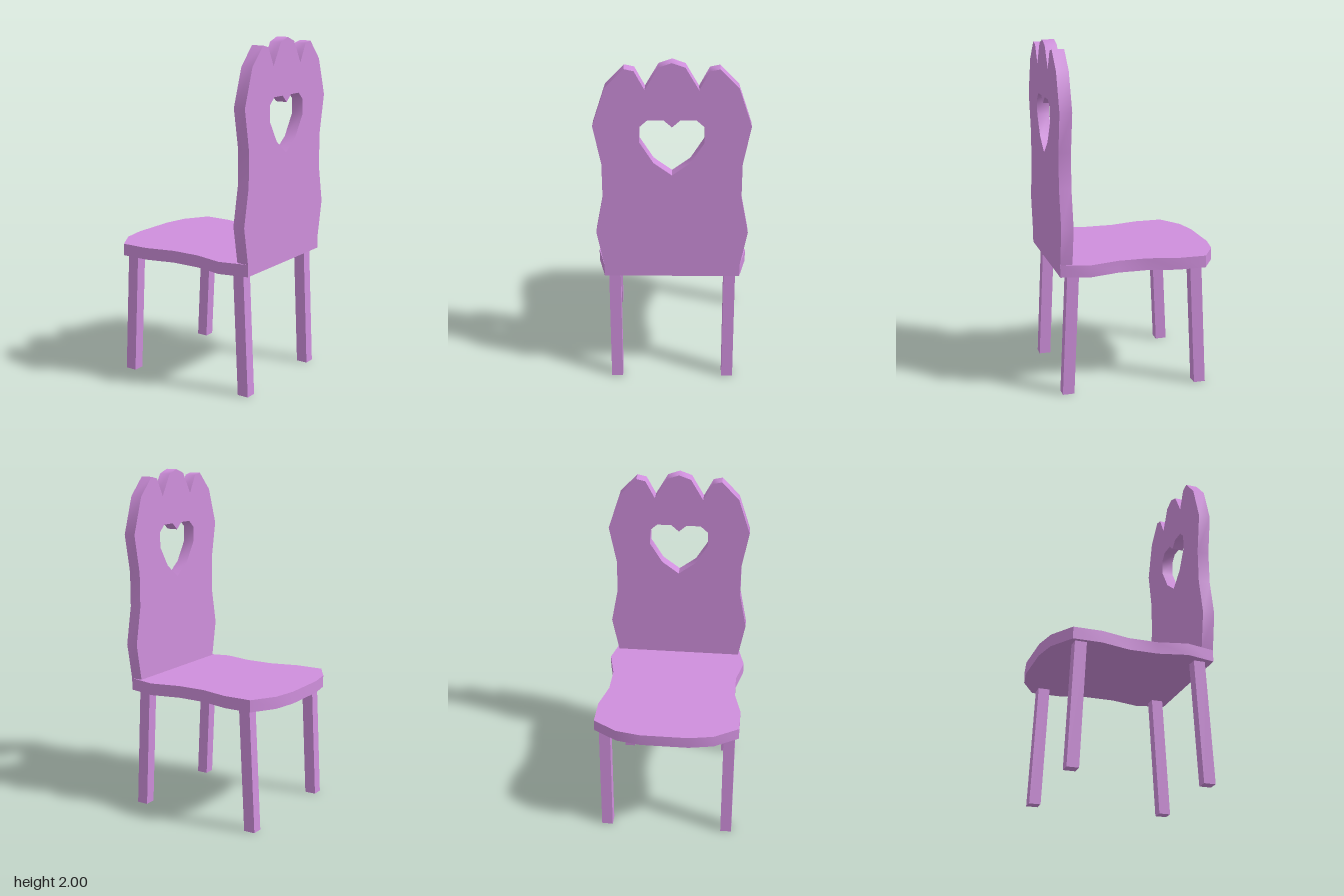
import * as THREE from 'three';
import { toCreasedNormals } from 'three/addons/utils/BufferGeometryUtils.js';

const THICK = 0.07, SEAT_TOP = 0.785;

// Closed outline from its right half, mirrored in x (points on the axis are not doubled)
function mirrored(half) {
  const left = half.filter(([x]) => x > 0).reverse().map(([x, y]) => [-x, y]);
  return [...half, ...left].map(([x, y]) => new THREE.Vector2(x, y));
}

// Flat board cut from a shape, softly shaded round its rim
function board(shape) {
  const geo = new THREE.ExtrudeGeometry(shape, { depth: THICK, bevelEnabled: false });
  return toCreasedNormals(geo, THREE.MathUtils.degToRad(50));
}

// Square leg, sheared so that its foot is set outwards in z
function leg(x, zTop, zFoot) {
  const h = SEAT_TOP - THICK;
  const geo = new THREE.BoxGeometry(0.066, h, 0.068);
  geo.translate(x, h / 2, 0);
  const p = geo.attributes.position;
  for (let i = 0; i < p.count; i++) {
    p.setZ(i, p.getZ(i) + THREE.MathUtils.lerp(zFoot, zTop, p.getY(i) / h));
  }
  geo.computeVertexNormals();
  return geo;
}

export function createModel() {
  const group = new THREE.Group();
  const paint = new THREE.MeshStandardMaterial({ color: 0xcf8fdc });
  const add = (name, geo) => {
    const mesh = new THREE.Mesh(geo, paint);
    mesh.name = name;
    group.add(mesh);
  };

  // Seat: waisted outline in x and z, bowed at the sitter's edge
  const seat = board(new THREE.Shape(mirrored([
    [0.14, -0.48], [0.283, -0.453], [0.424, -0.367], [0.424, -0.2],
    [0.382, -0.03], [0.382, 0.14], [0.422, 0.31], [0.382, 0.48],
  ])));
  seat.rotateX(Math.PI / 2).translate(0, SEAT_TOP, 0);
  add('seat', seat);

  // Backrest: wavy sides, three-lobed crest and a heart cut-out
  const back = new THREE.Shape(mirrored([
    [0.382, SEAT_TOP], [0.422, 1.0], [0.38, 1.22], [0.38, 1.42], [0.422, 1.645],
    [0.352, 1.86], [0.25, 1.967], [0.197, 1.955], [0.142, 1.85], [0.07, 1.975], [0, 2],
  ]));
  back.holes.push(new THREE.Path(mirrored([
    [0, 1.355], [0.1, 1.43], [0.174, 1.55], [0.174, 1.64],
    [0.13, 1.68], [0.045, 1.68], [0, 1.64],
  ])));
  add('backrest', board(back).translate(0, 0, 0.48 - THICK));

  // Splayed legs; the pair under the backrest stands closer together
  for (const [side, s] of [['left', 1], ['right', -1]]) {
    add(side + 'BackrestLeg', leg(s * 0.328, 0.402, 0.437));
    add(side + 'SeatEdgeLeg', leg(s * 0.368, -0.315, -0.35));
  }
  return group;
}
